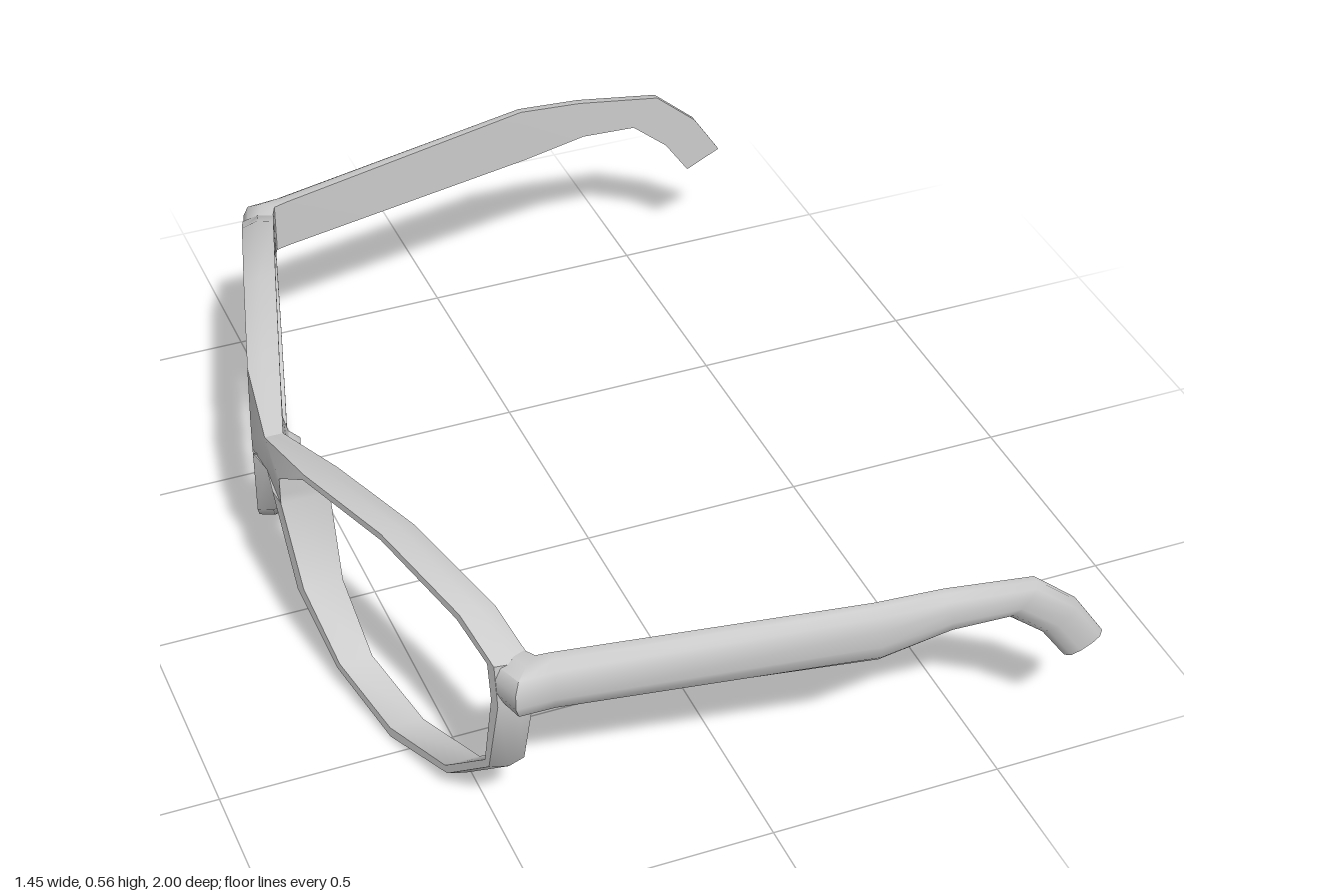
import * as THREE from 'three';
import { toCreasedNormals } from 'three/addons/utils/BufferGeometryUtils.js';

// Skin a list of equal-length cross-sections; side = -1 mirrors across z.
function loft(sections, side, loop) {
  const n = sections[0].length, m = sections.length;
  const pos = [], idx = [];
  sections.forEach(s => s.forEach(([x, y, z]) => pos.push(x, y, z * side)));
  const tri = (a, b, c) => (side > 0 ? idx.push(a, b, c) : idx.push(a, c, b));
  for (let s = 0; s < (loop ? m : m - 1); s++) {
    const t = (s + 1) % m;
    for (let p = 0; p < n; p++) {
      const q = (p + 1) % n;
      tri(s * n + p, t * n + p, t * n + q);
      tri(s * n + p, t * n + q, s * n + q);
    }
  }
  if (!loop) {
    const e = (m - 1) * n;
    for (let p = 1; p < n - 1; p++) {
      tri(0, p, p + 1);
      tri(e, e + p + 1, e + p);
    }
  }
  const g = new THREE.BufferGeometry();
  g.setAttribute('position', new THREE.Float32BufferAttribute(pos, 3));
  g.setIndex(idx);
  return toCreasedNormals(g, 0.9);
}

// Rim stations: outer z, y, inner z, y, extra depth at the back (nose rest)
const RIM = [
  [0, 0.485, 0.10, 0.45, 0],
  [0.20, 0.53, 0.19, 0.505, 0],
  [0.46, 0.555, 0.46, 0.53, 0],
  [0.72, 0.525, 0.705, 0.50, 0],
  [0.83, 0.465, 0.80, 0.455, 0],
  [0.84, 0.365, 0.81, 0.37, 0],
  [0.805, 0.18, 0.785, 0.195, 0],
  [0.66, 0.05, 0.65, 0.075, 0],
  [0.46, 0, 0.46, 0.033, 0],
  [0.27, 0.055, 0.285, 0.08, 0],
  [0.135, 0.18, 0.165, 0.20, 0.015],
  [0.06, 0.40, 0.10, 0.385, 0.035],
  [0, 0.40, 0.10, 0.41, 0.01],
];

// The lens plane sweeps back with z; the bridge is pinched at the centre.
const frontX = z => (z < 0.07 ? -0.72 - 0.01 * z / 0.07 : -0.75 + 0.28 * z);
const backX = z => -0.68 + 0.285 * z;

function rimSections() {
  return RIM.map(([oz, oy, iz, iy, extra]) => {
    // slightly bevelled outer edges, except where the halves meet
    const len = Math.hypot(iz - oz, iy - oy);
    const k = oz === 0 ? 0 : 0.009 / len;
    const bz = oz + (iz - oz) * k, by = oy + (iy - oy) * k;
    return [
      [frontX(bz), by, bz],
      [(frontX(oz) + backX(oz)) / 2, oy, oz],
      [backX(bz) + extra, by, bz],
      [backX(iz) + extra, iy, iz],
      [frontX(iz), iy, iz],
    ];
  });
}

// Temple stations: outer x, z, inner x, z, top y, bottom y, bottom x shift
const TEMPLE = [
  [-0.52, 0.82, -0.455, 0.80, 0.47, 0.362, 0],
  [-0.50, 0.885, -0.44, 0.832, 0.475, 0.358, 0],
  [-0.42, 0.888, -0.41, 0.838, 0.478, 0.36, 0],
  [0.21, 0.997, 0.21, 0.962, 0.505, 0.37, 0.01],
  [0.36, 1, 0.36, 0.963, 0.495, 0.40, 0.01],
  [0.56, 0.998, 0.56, 0.963, 0.465, 0.395, -0.06],
  [0.66, 0.995, 0.66, 0.963, 0.38, 0.325, -0.075],
  [0.725, 0.99, 0.725, 0.963, 0.283, 0.243, -0.082],
];

// Flat inside, rounded outside: u runs outer to inner, v bottom to top
const PROFILE = [[1, 0], [0.55, 0], [0.15, 0.12], [0, 0.35], [0, 0.65], [0.15, 0.88], [0.55, 1], [1, 1]];

function templeSections() {
  return TEMPLE.map(([ox, oz, ix, iz, top, bottom, shift]) =>
    PROFILE.map(([u, v]) => [
      ox + (ix - ox) * u + shift * (1 - v),
      bottom + (top - bottom) * v,
      oz + (iz - oz) * u,
    ]));
}

export function createModel() {
  const model = new THREE.Group();
  model.name = 'eyeglassesFrame';
  const material = new THREE.MeshStandardMaterial({ color: 0xcccccc });
  const add = (name, geometry) => {
    const mesh = new THREE.Mesh(geometry, material);
    mesh.name = name;
    model.add(mesh);
  };
  // Each half: lens rim with half the bridge, and its temple arm
  for (const [label, side] of [['A', 1], ['B', -1]]) {
    add('lensRim' + label, loft(rimSections(), side, true));
    add('templeArm' + label, loft(templeSections(), side, false));
  }
  return model;
}
